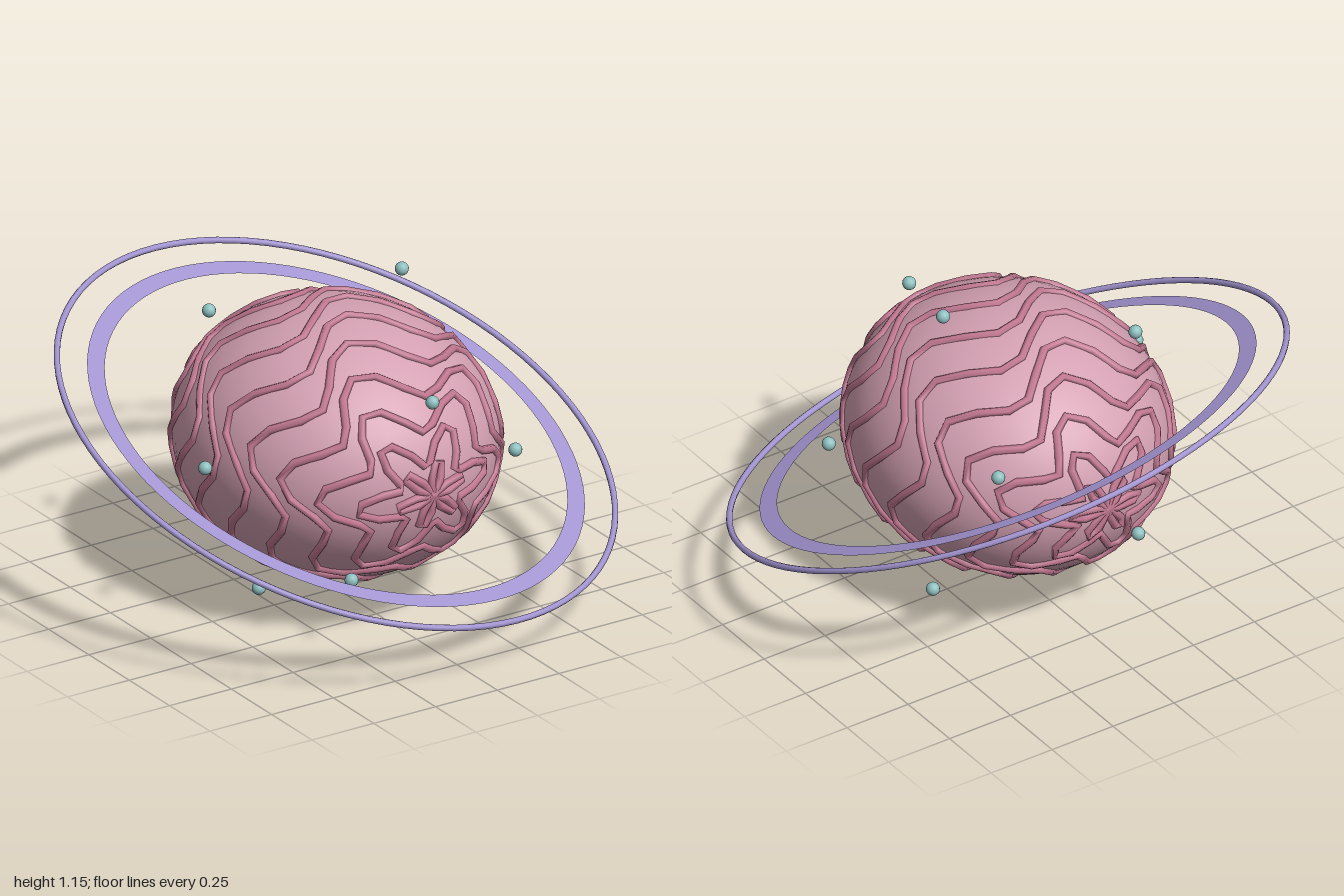
import * as THREE from 'three';

const mat = (name, color, side = THREE.FrontSide) =>
  Object.assign(new THREE.MeshStandardMaterial({ color, side }), { name });

// Closed zigzag loop around the z axis, lying on an ellipsoid
class FoldCurve extends THREE.Curve {
  constructor(theta, phase, size) {
    super();
    Object.assign(this, { theta, phase, size });
  }
  getPoint(t, target = new THREE.Vector3()) {
    const phi = t * Math.PI * 2;
    const theta = this.theta + 0.14 * Math.sin(6 * phi + this.phase);
    return target.set(
      Math.sin(theta) * Math.cos(phi),
      Math.sin(theta) * Math.sin(phi),
      Math.cos(theta)
    ).multiply(this.size);
  }
  // Even steps in angle give the straight-sided zigzag
  getPointAt(t, target) { return this.getPoint(t, target); }
  getTangentAt(t, target) {
    const a = this.getPoint(t - 0.002), b = this.getPoint(t + 0.002);
    return (target || new THREE.Vector3()).copy(b.sub(a).normalize());
  }
}

export function createModel() {
  const model = new THREE.Group();
  const core = mat('core pink', 0xd3a0b2);
  const fold = mat('fold rose', 0xc47a93);
  const lilac = mat('ring lilac', 0xa496d2, THREE.DoubleSide);
  const teal = mat('bead teal', 0x8fc0c0);

  const add = (parent, name, geometry, material) => {
    const mesh = new THREE.Mesh(geometry, material);
    mesh.name = name;
    parent.add(mesh);
    return mesh;
  };

  // Everything is arranged about one centre
  const centre = new THREE.Group();
  centre.name = 'body';
  centre.position.y = 0.576;
  model.add(centre);

  // Egg-shaped core, longest from front to back
  const size = new THREE.Vector3(0.54, 0.468, 0.6);
  add(centre, 'core', new THREE.SphereGeometry(1, 48, 32).scale(size.x, size.y, size.z), core);

  // Zigzag folds from the front pole to the back pole
  const folds = new THREE.Group();
  folds.name = 'folds';
  centre.add(folds);
  const count = 13;
  for (let i = 0; i < count; i++) {
    const curve = new FoldCurve(((i + 0.5) / count) * Math.PI, i * 0.9, size);
    add(folds, 'fold', new THREE.TubeGeometry(curve, 36, 0.015, 6, true), fold);
  }

  // Tilted rings: a flat band and a thin outer hoop
  const rings = new THREE.Group();
  rings.name = 'rings';
  rings.rotation.set(0.365, 0, -0.17);
  centre.add(rings);
  add(rings, 'flatRing', new THREE.RingGeometry(0.832, 0.895, 96).rotateX(-Math.PI / 2), lilac);
  add(rings, 'outerHoop', new THREE.TorusGeometry(1.004, 0.011, 8, 96).rotateX(Math.PI / 2), lilac);

  // Beads spread evenly by the golden angle
  const beads = new THREE.Group();
  beads.name = 'beads';
  centre.add(beads);
  const golden = Math.PI * (3 - Math.sqrt(5));
  for (let i = 0; i < 10; i++) {
    const y = 1 - (2 * i + 1) / 10;
    const r = Math.sqrt(1 - y * y);
    const bead = add(beads, 'bead', new THREE.SphereGeometry(0.024, 14, 10), teal);
    bead.position.set(r * Math.cos(i * golden), y, -r * Math.sin(i * golden)).multiplyScalar(0.611);
  }

  return model;
}
